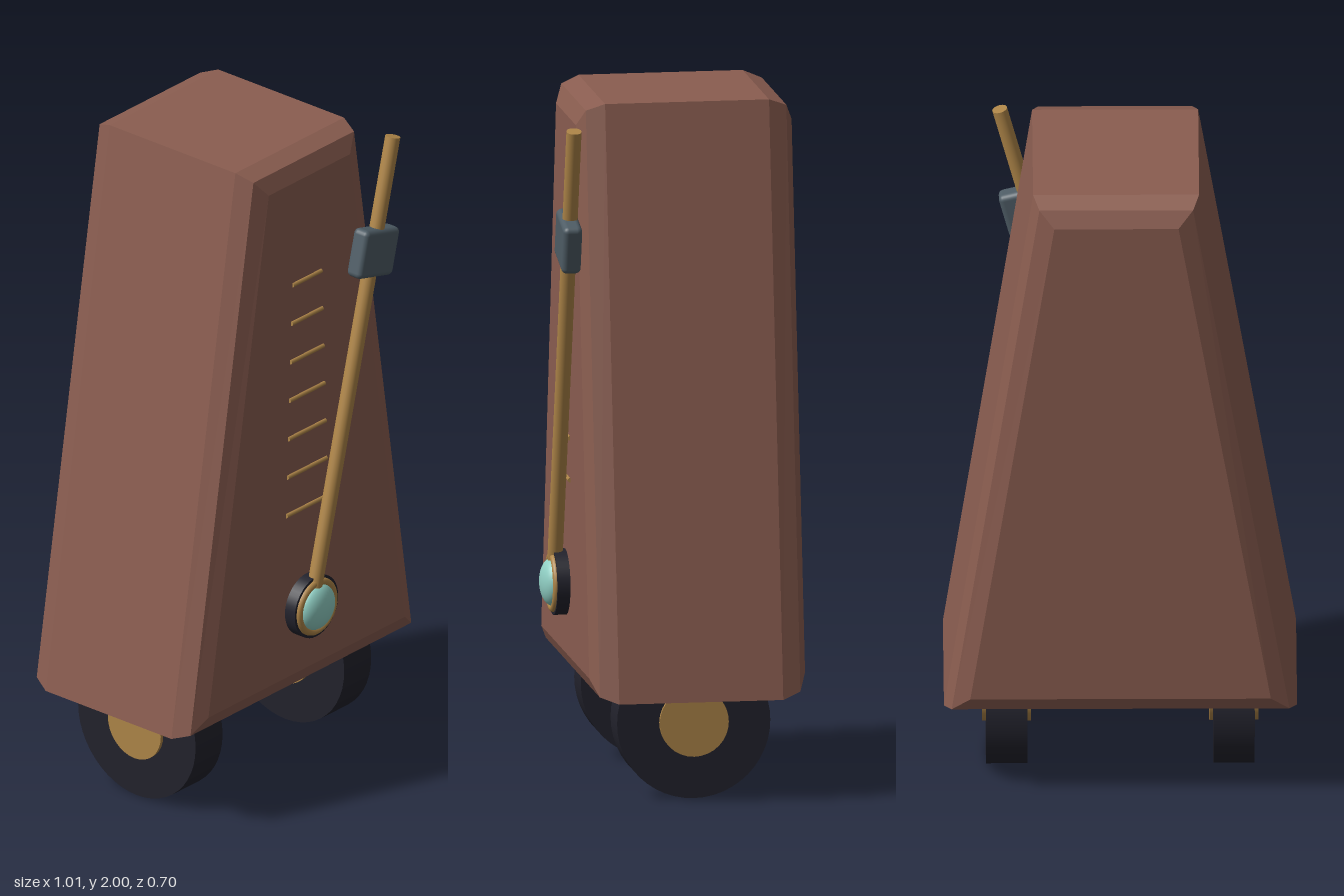
import * as THREE from 'three';
import { RoundedBoxGeometry } from 'three/addons/geometries/RoundedBoxGeometry.js';

const material = (name, color) => {
  const m = new THREE.MeshStandardMaterial({ color });
  m.name = name;
  return m;
};

export function createModel() {
  const wood = material('brown wood', 0x8a5d50);
  const brass = material('brass', 0xae8548);
  const rubber = material('black rubber', 0x22222c);
  const slate = material('slate metal', 0x4e5c65);
  const glass = material('pale teal glass', 0x90cfc4);

  const model = new THREE.Group();
  model.name = 'metronome';
  const add = (name, geometry, mat, x = 0, y = 0, z = 0, parent = model) => {
    const mesh = new THREE.Mesh(geometry, mat);
    mesh.name = name;
    mesh.position.set(x, y, z);
    parent.add(mesh);
    return mesh;
  };

  // Tapered case with a two-step bevel front and back
  const outline = new THREE.Shape([
    new THREE.Vector2(-0.505, 0.3), new THREE.Vector2(0.505, 0.3),
    new THREE.Vector2(0.25, 2), new THREE.Vector2(-0.225, 2),
  ]);
  add('case', new THREE.ExtrudeGeometry(outline, {
    depth: 0.475, bevelEnabled: true, bevelSegments: 2,
    bevelThickness: 0.075, bevelSize: 0.07, bevelOffset: -0.07,
  }), wood, 0, 0, -0.275);

  // Scale marks, widening towards the bottom
  for (let i = 0; i < 7; i++) {
    const mark = new THREE.CylinderGeometry(0.007, 0.007, 0.126 + (6 - i) * 0.009, 10);
    mark.rotateZ(Math.PI / 2);
    add('scaleMark', mark, brass, 0, 0.88 + i * 0.121, 0.275);
  }

  // Pendulum rod with its sliding weight
  const pendulum = new THREE.Group();
  pendulum.name = 'pendulum';
  pendulum.position.set(-0.008, 0.6, 0.305);
  pendulum.rotation.z = -Math.atan2(0.35, 1.34);
  model.add(pendulum);
  add('rod', new THREE.CylinderGeometry(0.022, 0.022, 1.385, 20), brass, 0, 0.6925, 0, pendulum);
  add('weight', new RoundedBoxGeometry(0.155, 0.145, 0.056, 3, 0.016), slate, 0, 1.04, 0.002, pendulum);

  // Pivot: dark housing, brass ring and domed lens
  const housing = new THREE.CylinderGeometry(0.095, 0.095, 0.04, 40);
  housing.rotateX(Math.PI / 2);
  add('pivotHousing', housing, rubber, 0, 0.57, 0.292);
  add('pivotRing', new THREE.TorusGeometry(0.076, 0.011, 12, 40), brass, 0, 0.57, 0.312);
  const lens = new THREE.SphereGeometry(0.07, 32, 12, 0, Math.PI * 2, 0, Math.PI / 2);
  lens.rotateX(Math.PI / 2);
  lens.scale(1, 1, 0.55);
  add('pivotLens', lens, glass, 0, 0.57, 0.311);

  // Two wheels side by side under the case
  for (const side of [-1, 1]) {
    const wheel = new THREE.Group();
    wheel.name = side < 0 ? 'rightWheel' : 'leftWheel';
    wheel.position.set(side * 0.325, 0.222, -0.035);
    wheel.rotation.z = Math.PI / 2;
    model.add(wheel);
    add('tyre', new THREE.CylinderGeometry(0.222, 0.222, 0.118, 48), rubber, 0, 0, 0, wheel);
    add('hub', new THREE.CylinderGeometry(0.1, 0.1, 0.14, 32), brass, 0, 0, 0, wheel);
  }

  return model;
}
